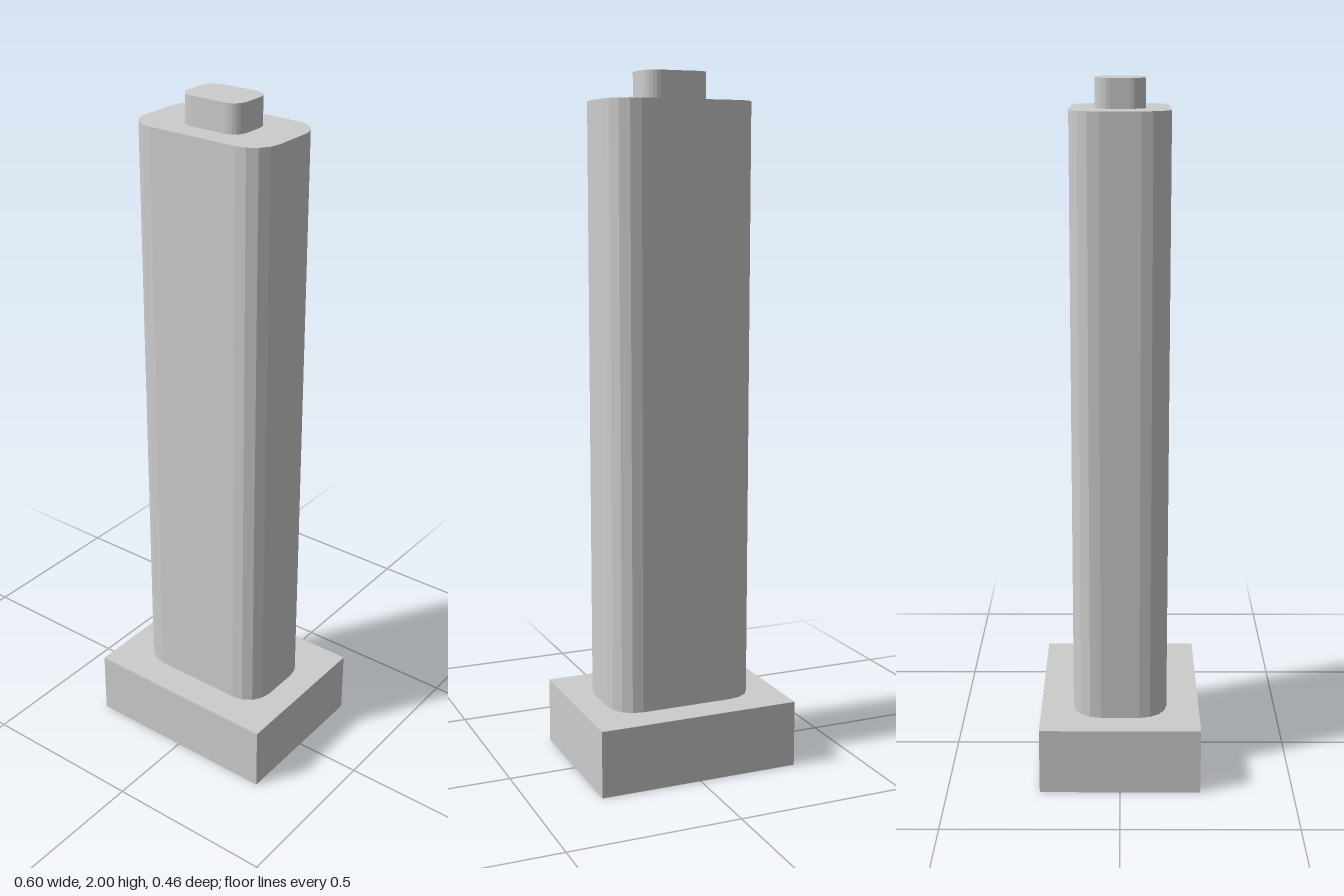
import * as THREE from 'three';

// Upright prism with a rounded-rectangle footprint; each corner has 2 * curveSegments facets.
function roundedPrism(halfX, halfZ, radius, yBottom, yTop, curveSegments) {
  const cx = halfX - radius, cz = halfZ - radius;
  const shape = new THREE.Shape();
  [[cx, cz], [-cx, cz], [-cx, -cz], [cx, -cz]].forEach(([x, z], i) => {
    shape.absarc(x, z, radius, i * Math.PI / 2, (i + 1) * Math.PI / 2, false);
  });
  shape.closePath();
  return new THREE.ExtrudeGeometry(shape, { depth: yTop - yBottom, bevelEnabled: false, curveSegments })
    .rotateX(-Math.PI / 2)
    .translate(0, yBottom, 0);
}

// Box open at the bottom: the bottom face's two triangles are left out.
function openBox(width, height, depth) {
  const geometry = new THREE.BoxGeometry(width, height, depth).translate(0, height / 2, 0);
  const index = Array.from(geometry.index.array);
  index.splice(18, 6);
  geometry.setIndex(index);
  geometry.clearGroups();
  return geometry;
}

export function createModel() {
  const grey = new THREE.MeshStandardMaterial({ color: 0xcccccc, side: THREE.DoubleSide });
  grey.name = 'light grey';

  const model = new THREE.Group();
  model.name = 'column';
  const add = (name, geometry) => {
    const mesh = new THREE.Mesh(geometry, grey);
    mesh.name = name;
    model.add(mesh);
  };

  const baseTop = 0.195, shaftTop = 1.92;
  add('base', openBox(0.602, baseTop, 0.464));                                   // hollow plinth
  add('shaft', roundedPrism(0.219, 0.137, 0.081, baseTop, shaftTop, 2));         // faceted corners
  add('topStub', roundedPrism(0.096, 0.069, 0.042, shaftTop, 2, 3));             // small stub on top
  return model;
}
